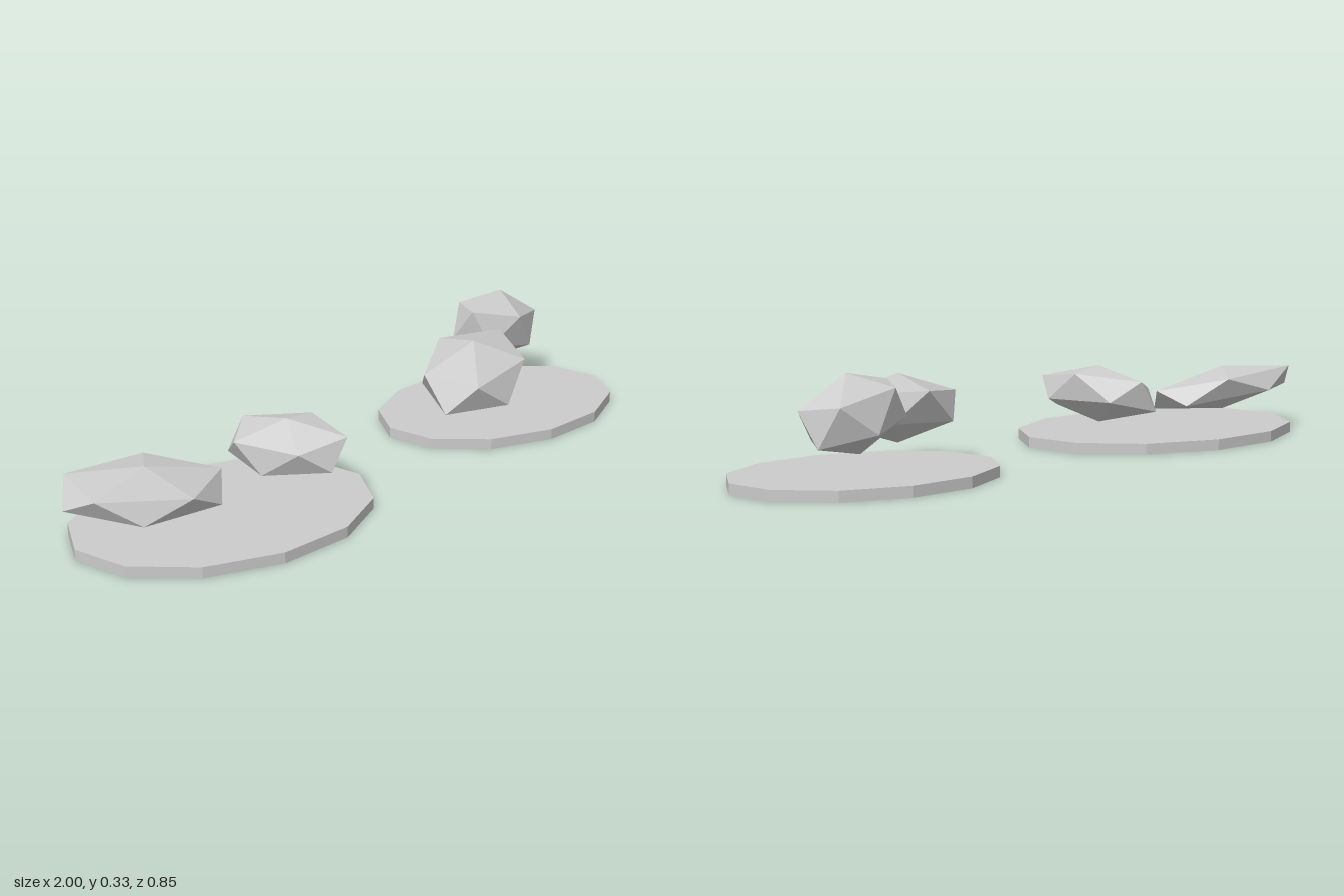
import * as THREE from 'three';

const material = new THREE.MeshStandardMaterial({ color: 0xcccccc, flatShading: true });

// Flat twelve-sided oval slab resting on the ground
function makeSlab(name, x, z, rx, rz) {
  const geometry = new THREE.CylinderGeometry(1, 1, 0.032, 12).scale(rx, 1, rz);
  const mesh = new THREE.Mesh(geometry, material);
  mesh.name = name;
  mesh.position.set(x, 0.016, z);
  return mesh;
}

// Icosahedron stretched and turned along three axis vectors
function makeRock(name, position, xAxis, yAxis, zAxis) {
  const basis = new THREE.Matrix4().makeBasis(
    new THREE.Vector3(...xAxis),
    new THREE.Vector3(...yAxis),
    new THREE.Vector3(...zAxis)
  );
  const geometry = new THREE.IcosahedronGeometry(1, 0).applyMatrix4(basis);
  geometry.computeVertexNormals();
  const mesh = new THREE.Mesh(geometry, material);
  mesh.name = name;
  mesh.position.set(...position);
  return mesh;
}

export function createModel() {
  const group = new THREE.Group();
  group.name = 'rockClusters';

  // Right cluster: wide slab with a long rock and a small rock
  group.add(
    makeSlab('rightSlab', -0.53, 0.095, 0.457, 0.328),
    makeRock('rightLongRock', [-0.755, 0.138, 0.06],
      [0.229, -0.059, 0], [0.147, 0.042, 0], [0.005, -0.026, 0.157]),
    makeRock('rightSmallRock', [-0.283, 0.155, 0.04],
      [0.079, 0.032, -0.082], [-0.111, 0.036, -0.128], [0.06, 0.076, 0.092])
  );

  // Left cluster: smaller slab with a large rock and a round rock
  group.add(
    makeSlab('leftSlab', 0.6, -0.145, 0.4, 0.282),
    makeRock('leftLargeRock', [0.46, 0.183, -0.077],
      [0.17, 0.028, -0.164], [-0.1255, 0.058, -0.08], [0.077, 0.079, 0.048]),
    makeRock('leftRoundRock', [0.717, 0.217, -0.312],
      [0.036, -0.008, -0.116], [-0.13, 0.087, -0.006], [0.104, 0.075, 0.0035])
  );

  return group;
}
